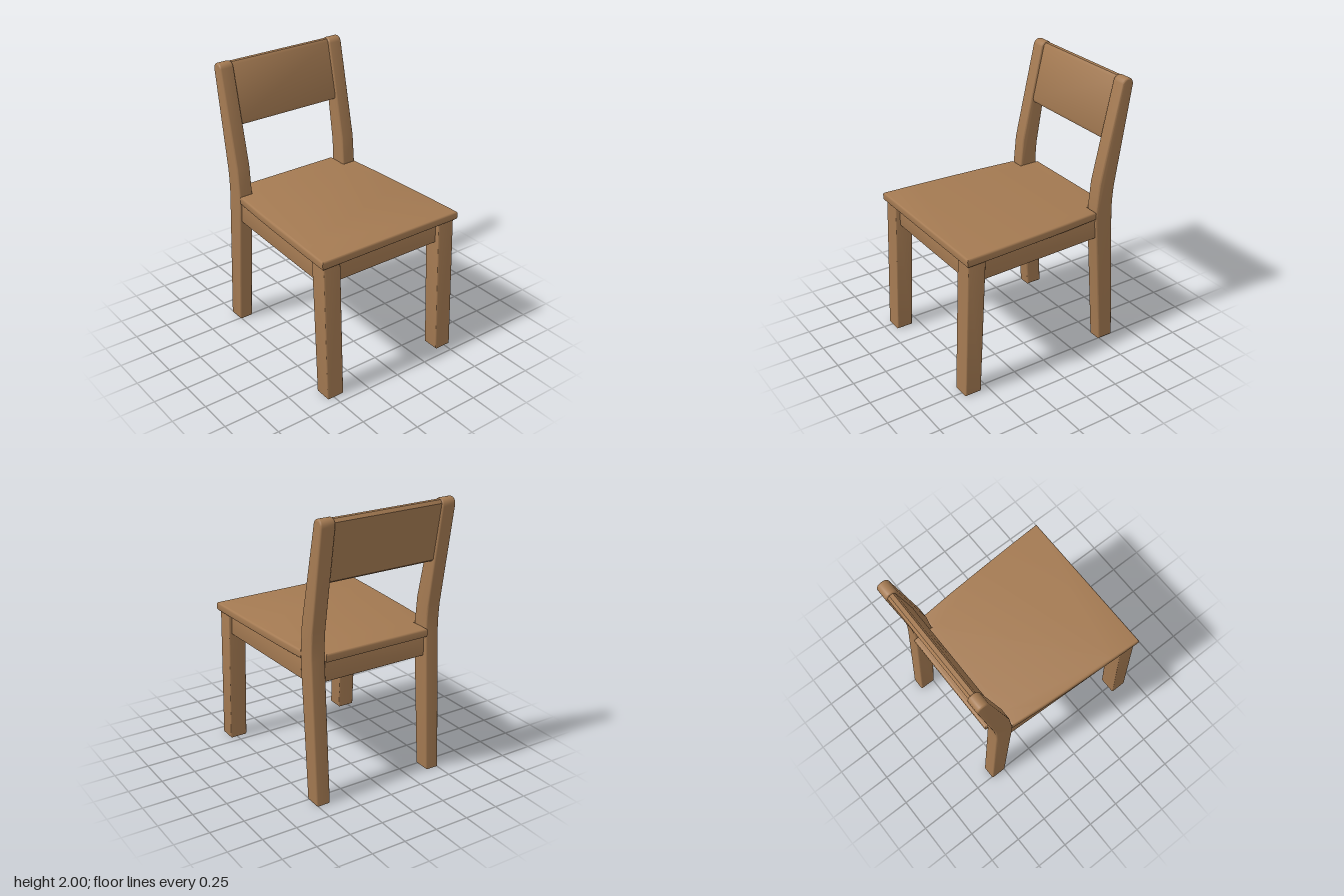
import * as THREE from 'three';
import { toCreasedNormals } from 'three/addons/utils/BufferGeometryUtils.js';

const wood = new THREE.MeshStandardMaterial({ color: 0xa47a52 });
wood.name = 'wood';

// Rounded-edge prism of an outline, centred on its extrusion axis
function prism(shape, depth, bevel, segments = 3) {
  const geometry = new THREE.ExtrudeGeometry(shape, {
    depth: depth - 2 * bevel, bevelEnabled: true, bevelThickness: bevel,
    bevelSize: bevel, bevelOffset: -bevel, bevelSegments: segments, curveSegments: 10,
  });
  return geometry.translate(0, 0, bevel - depth / 2);
}

function outline(points) {
  return new THREE.Shape(points.map(([a, b]) => new THREE.Vector2(a, b)));
}

function part(name, geometry) {
  const mesh = new THREE.Mesh(toCreasedNormals(geometry, 0.6), wood);
  mesh.name = name;
  return mesh;
}

// Side profile (z, y) spanning x0..x1
function sidePart(name, shape, x0, x1, bevel) {
  const geometry = prism(shape, x1 - x0, bevel).rotateY(-Math.PI / 2);
  return part(name, geometry.translate((x0 + x1) / 2, 0, 0));
}

// Plan outline (x, z) spanning y0..y1
function planPart(name, points, y0, y1, bevel) {
  const shape = outline(points.map(([x, z]) => [x, -z]));
  const geometry = prism(shape, y1 - y0, bevel).rotateX(-Math.PI / 2);
  return part(name, geometry.translate(0, (y0 + y1) / 2, 0));
}

export function createModel() {
  const chair = new THREE.Group();
  chair.name = 'chair';

  // Tapering seat, notched round the back posts
  const half = [[0.572, 0.658], [0.562, 0.42], [0.545, 0.1], [0.53, -0.15], [0.508, -0.415],
    [0.405, -0.415], [0.405, -0.568]];
  const mirrored = half.map(([x, z]) => [-x, z]).reverse();
  chair.add(planPart('seat', [...half, ...mirrored], 1.01, 1.072, 0.014));

  // Splayed front leg
  const frontLeg = outline([[0.558, 0], [0.68, 0], [0.642, 1.015], [0.508, 1.015]]);

  // Back leg and post in one bent piece with a rounded top
  const backLeg = new THREE.Shape();
  backLeg.moveTo(-0.612, 0);
  backLeg.lineTo(-0.492, 0);
  backLeg.lineTo(-0.428, 0.84);
  backLeg.quadraticCurveTo(-0.413, 0.97, -0.415, 1.06);
  backLeg.lineTo(-0.434, 1.27);
  backLeg.lineTo(-0.588, 1.965);
  backLeg.bezierCurveTo(-0.6, 2.012, -0.682, 2.012, -0.676, 1.945);
  backLeg.lineTo(-0.562, 1.24);
  backLeg.quadraticCurveTo(-0.55, 1.13, -0.553, 1.03);
  backLeg.closePath();

  for (const [side, s] of [['left', 1], ['right', -1]]) {
    const span = (a, b) => (s > 0 ? [a, b] : [-b, -a]);
    chair.add(sidePart(side + 'FrontLeg', frontLeg, ...span(0.418, 0.552), 0.01));
    chair.add(sidePart(side + 'BackLeg', backLeg, ...span(0.404, 0.51), 0.012));
    // Side rail following the seat taper
    chair.add(planPart(side + 'Rail',
      [[0.532, 0.56], [0.493, -0.46], [0.443, -0.46], [0.482, 0.56]].map(([x, z]) => [s * x, z]),
      0.86, 1.015, 0.006));
  }

  // Front and back rails
  const rail = (name, z0, z1) => planPart(name,
    [[-0.43, z1], [0.43, z1], [0.43, z0], [-0.43, z0]], 0.86, 1.015, 0.006);
  chair.add(rail('frontRail', 0.562, 0.612), rail('backRail', -0.53, -0.48));

  // Leaning backrest board between the posts
  const board = outline([[-0.525, 1.56], [-0.518, 1.585], [-0.608, 1.972], [-0.622, 1.99],
    [-0.65, 1.99], [-0.666, 1.968], [-0.598, 1.572], [-0.585, 1.56]]);
  chair.add(sidePart('backrest', board, -0.42, 0.42, 0.004));

  return chair;
}
